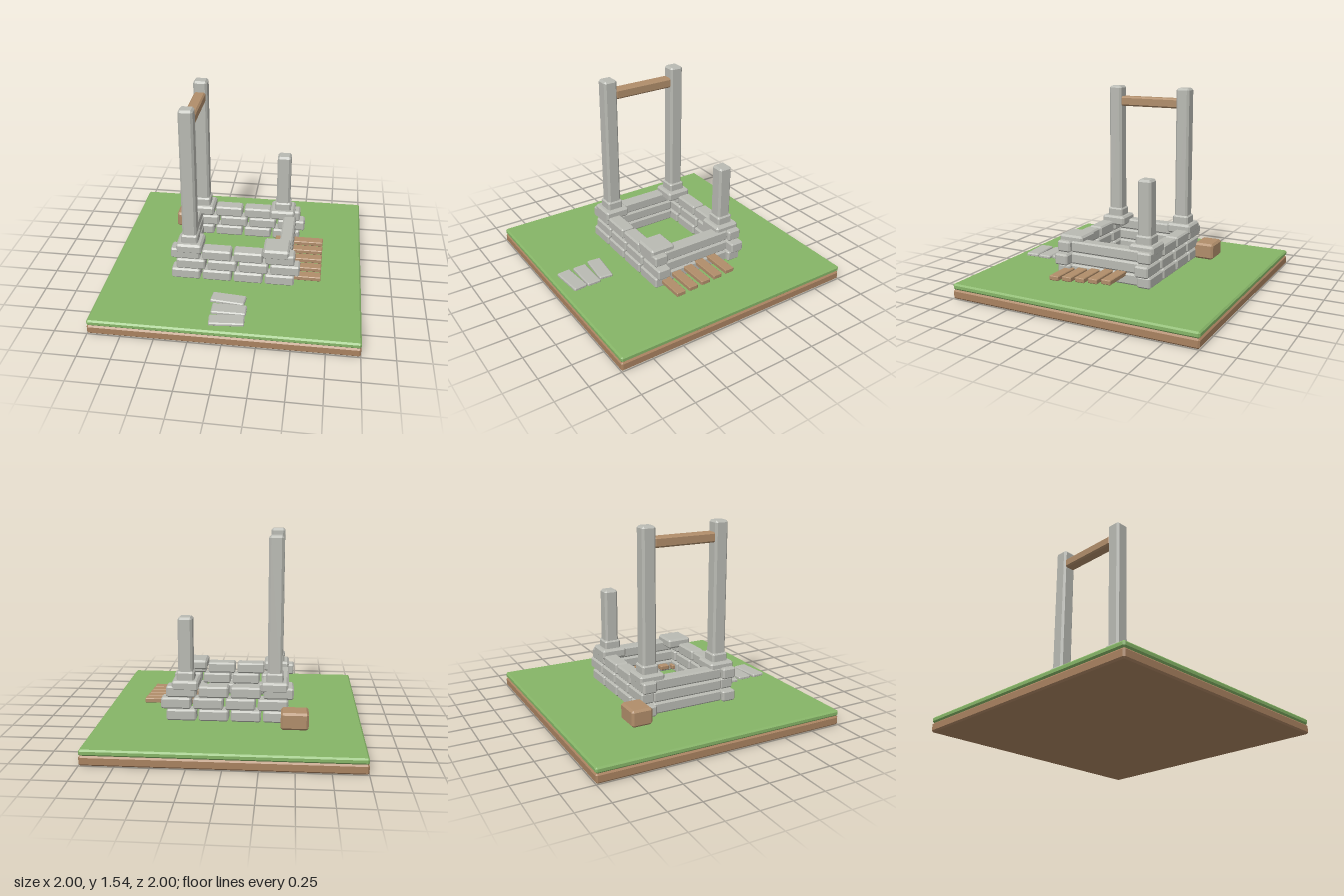
import * as THREE from 'three';
import { ConvexGeometry } from 'three/addons/geometries/ConvexGeometry.js';

const material = (name, color) => {
  const m = new THREE.MeshStandardMaterial({ color });
  m.name = name;
  return m;
};

// Box with a flat chamfer on every edge, centred on the origin
function chamferBox(w, h, d, c) {
  const pts = [];
  for (const sx of [-1, 1]) for (const sy of [-1, 1]) for (const sz of [-1, 1]) {
    const x = w / 2, y = h / 2, z = d / 2;
    pts.push(
      new THREE.Vector3(sx * x, sy * (y - c), sz * (z - c)),
      new THREE.Vector3(sx * (x - c), sy * y, sz * (z - c)),
      new THREE.Vector3(sx * (x - c), sy * (y - c), sz * z));
  }
  return new ConvexGeometry(pts);
}

export function createModel() {
  const model = new THREE.Group();
  model.name = 'ruinedWell';
  const stone = material('stone grey', 0xb9bab3);
  const wood = material('wood brown', 0xb08d6a);
  const dirt = material('dirt brown', 0xa98260);
  const grass = material('grass green', 0x86b567);

  // Adds a block from its minimum and maximum corners
  function block(name, mat, [x0, y0, z0], [x1, y1, z1], chamfer = 0.012, parent = model) {
    const mesh = new THREE.Mesh(chamferBox(x1 - x0, y1 - y0, z1 - z0, chamfer), mat);
    mesh.position.set((x0 + x1) / 2, (y0 + y1) / 2, (z0 + z1) / 2);
    mesh.name = name;
    parent.add(mesh);
    return mesh;
  }

  // Ground slab
  block('dirtSlab', dirt, [-1, 0, -1], [1, 0.072, 1], 0.012);
  block('grassSlab', grass, [-1, 0.072, -1], [1, 0.118, 1], 0.012);

  // Stone walls: staggered bricks front and back, long beams at the sides
  const walls = new THREE.Group();
  walls.name = 'walls';
  model.add(walls);
  for (let row = 0; row < 3; row++) {
    const y0 = 0.131 + row * 0.0925, y1 = y0 + 0.087;
    const shift = row === 1 ? 0.041 : 0;
    for (const side of [-1, 1]) {
      const z = side * 0.342;
      for (let i = 0; i < 4; i++) {
        const x = -0.371 + i * 0.2455 + shift;
        block('wallBrick', stone, [x - 0.114, y0, z - 0.056], [x + 0.114, y1, z + 0.056], 0.012, walls);
      }
      const x = side * 0.397;
      block('sideBeam', stone, [x - 0.051, y0, -0.295], [x + 0.051, y1, 0.295], 0.012, walls);
    }
  }

  // Corner caps, with a collar and post where one still stands
  const corners = [
    { x: -0.342, z: 0.301, top: 1.537 },
    { x: -0.342, z: -0.301, top: 1.537 },
    { x: 0.336, z: -0.301, top: 0.925 },
    { x: 0.336, z: 0.301, top: 0 },
  ];
  for (const { x, z, top } of corners) {
    const pillar = new THREE.Group();
    pillar.name = 'cornerPillar';
    model.add(pillar);
    const part = (name, r, y0, y1, c) =>
      block(name, stone, [x - r, y0, z - r], [x + r, y1, z + r], c, pillar);
    part('cornerCap', 0.101, 0.365, 0.443, 0.015);
    if (!top) continue;
    part('collar', 0.066, 0.43, 0.509, 0.013);
    part('post', 0.055, 0.48, top, 0.016);
  }

  // Crossbeam between the two tall posts
  block('crossbeam', wood, [-0.388, 1.374, -0.255], [-0.298, 1.452, 0.255], 0.012);

  // Loose planks poking through the right wall, each a little higher
  for (let i = 0; i < 5; i++) {
    const z = 0.302 - i * 0.111, y = 0.174 + i * 0.0098;
    block('plank', wood, [0.29, y - 0.018, z - 0.039], [0.684, y + 0.018, z + 0.039], 0.005);
  }

  // Crate behind the left back corner
  block('crate', wood, [-0.598, 0.131, -0.546], [-0.392, 0.262, -0.38], 0.016);

  // Stepping stones
  for (const [x, z, turn] of [[0, 0.617, -0.1], [0.022, 0.745, 0], [0.022, 0.872, 0.085]]) {
    const step = block('steppingStone', stone, [x - 0.131, 0.112, z - 0.055], [x + 0.131, 0.142, z + 0.055], 0.008);
    step.rotation.y = turn;
  }
  return model;
}
